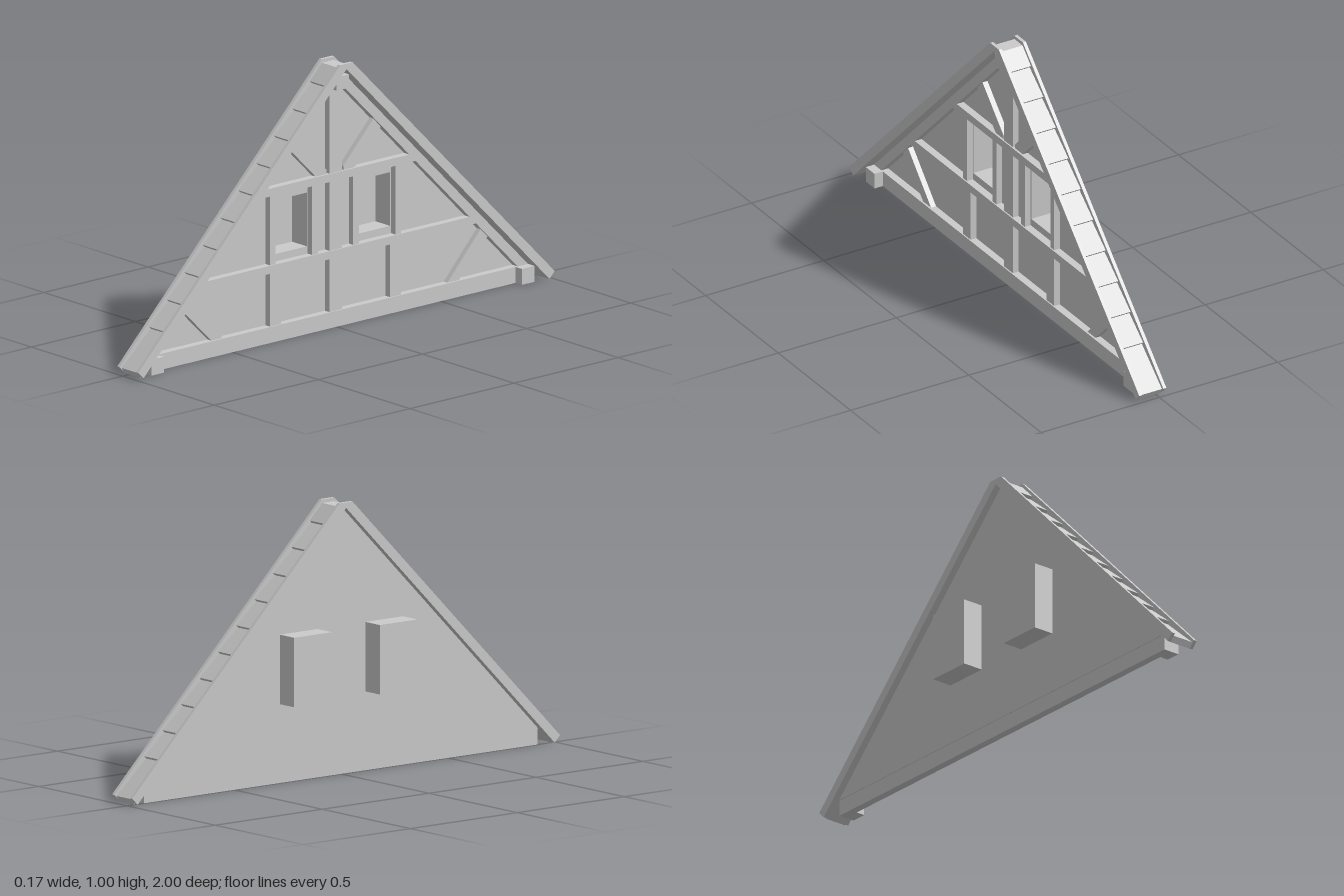
import * as THREE from 'three';

const material = new THREE.MeshStandardMaterial({ color: 0xcccccc, flatShading: true });

export function createModel() {
  const model = new THREE.Group();
  model.name = 'timberGable';

  // Slab: a [z, y] outline (with optional holes) given thickness from x0 to x1
  function slab(name, outline, x0, x1, holes = []) {
    const toPoints = (list) => list.map(([z, y]) => new THREE.Vector2(-z, y));
    const shape = new THREE.Shape(toPoints(outline));
    for (const h of holes) shape.holes.push(new THREE.Path(toPoints(h)));
    const geo = new THREE.ExtrudeGeometry(shape, { depth: x1 - x0, bevelEnabled: false });
    geo.rotateY(Math.PI / 2).translate(x0, 0, 0);
    const mesh = new THREE.Mesh(geo, material);
    mesh.name = name;
    model.add(mesh);
  }
  const rect = (z0, z1, y0, y1) => [[z0, y0], [z1, y0], [z1, y1], [z0, y1]];
  const block = (name, z0, z1, y0, y1, x0, x1) => slab(name, rect(z0, z1, y0, y1), x0, x1);

  // Wall with two window openings
  const win = { z0: 0.112, z1: 0.288, y0: 0.29, y1: 0.545 };
  slab('gableWall', [[0.92, 0.06], [0, 0.98], [-0.92, 0.06]], -0.003, 0.001, [
    rect(win.z0, win.z1, win.y0, win.y1),
    rect(-win.z1, -win.z0, win.y0, win.y1),
  ]);

  // Main horizontal beams and the king post
  slab('tieBeam', [[-0.92, 0], [0.92, 0], [0.92, 0.06], [-0.92, 0.06]], 0, 0.03);
  slab('lowerCollar', [[-0.67, 0.26], [0.67, 0.26], [0.64, 0.29], [-0.64, 0.29]], 0, 0.03);
  slab('upperCollar', [[-0.38, 0.55], [0.38, 0.55], [0.35, 0.58], [-0.35, 0.58]], 0, 0.03);
  block('kingPost', -0.03, 0.03, 0.06, 0.9, 0, 0.025);
  block('ridgePurlin', -0.03, 0.03, 0.9, 0.95, 0, 0.065);

  for (const s of [1, -1]) {
    const m = (pts) => pts.map(([z, y]) => [s * z, y]);

    // Rafter and studs
    slab('rafter', m([[0.92, 0.06], [0, 0.98], [0, 0.93], [0.87, 0.06]]), 0, 0.03);
    block('lowerStud', s * 0.262, s * 0.315, 0.06, 0.26, 0, 0.025);
    block('outerWindowPost', s * 0.288, s * 0.315, 0.29, 0.55, 0, 0.025);
    block('innerWindowPost', s * 0.085, s * 0.112, 0.29, 0.55, 0, 0.025);
    block('eavesPurlin', s * 0.86, s * 0.92, 0, 0.06, 0, 0.065);

    // Diagonal braces
    slab('lowerBrace', m([[0.594, 0.06], [0.735, 0.2], [0.7, 0.232], [0.54, 0.06]]), 0, 0.022);
    slab('upperBrace', m([[0.093, 0.58], [0.22, 0.707], [0.185, 0.745], [0.04, 0.595], [0.04, 0.58]]), 0, 0.022);

    // Window box projecting from the back of the wall
    const { z0, z1, y0, y1 } = win;
    block('windowBack', s * z0, s * z1, y0, y1, -0.085, -0.081);
    block('windowSide', s * z0, s * (z0 + 0.004), y0, y1, -0.085, 0);
    block('windowSide', s * (z1 - 0.004), s * z1, y0, y1, -0.085, 0);
    block('windowSill', s * z0, s * z1, y0, y0 + 0.028, -0.085, 0);
    block('windowHead', s * z0, s * z1, y1 - 0.025, y1, -0.085, 0);
  }

  // Barge boards on both edges of the roof
  const board = [[0, 0.98], [0.975, 0.005], [1, 0.03], [0.03, 1], [-0.03, 1], [-1, 0.03], [-0.975, 0.005]];
  slab('frontBargeBoard', board, 0.072, 0.085);
  slab('backBargeBoard', board, -0.03, -0.017);

  // Stepped tile courses: each course rises from the slope and ends in a lip
  const low = 0.997, high = 1.015, half = [];
  for (let k = 0; k < 10; k++) {
    const y = 0.15 + 0.086 * k;
    half.push([low - y + 0.004, y - 0.004], [high - y - 0.005, y + 0.005]);
  }
  const side = [[0.977, 0.003], [0.99, 0.025], ...half, [0.028, 0.987]];
  const mirrored = side.map(([z, y]) => [-z, y]).reverse();
  slab('roofTiles', [[0, 0.98], ...side, ...mirrored], -0.017, 0.072);

  return model;
}
